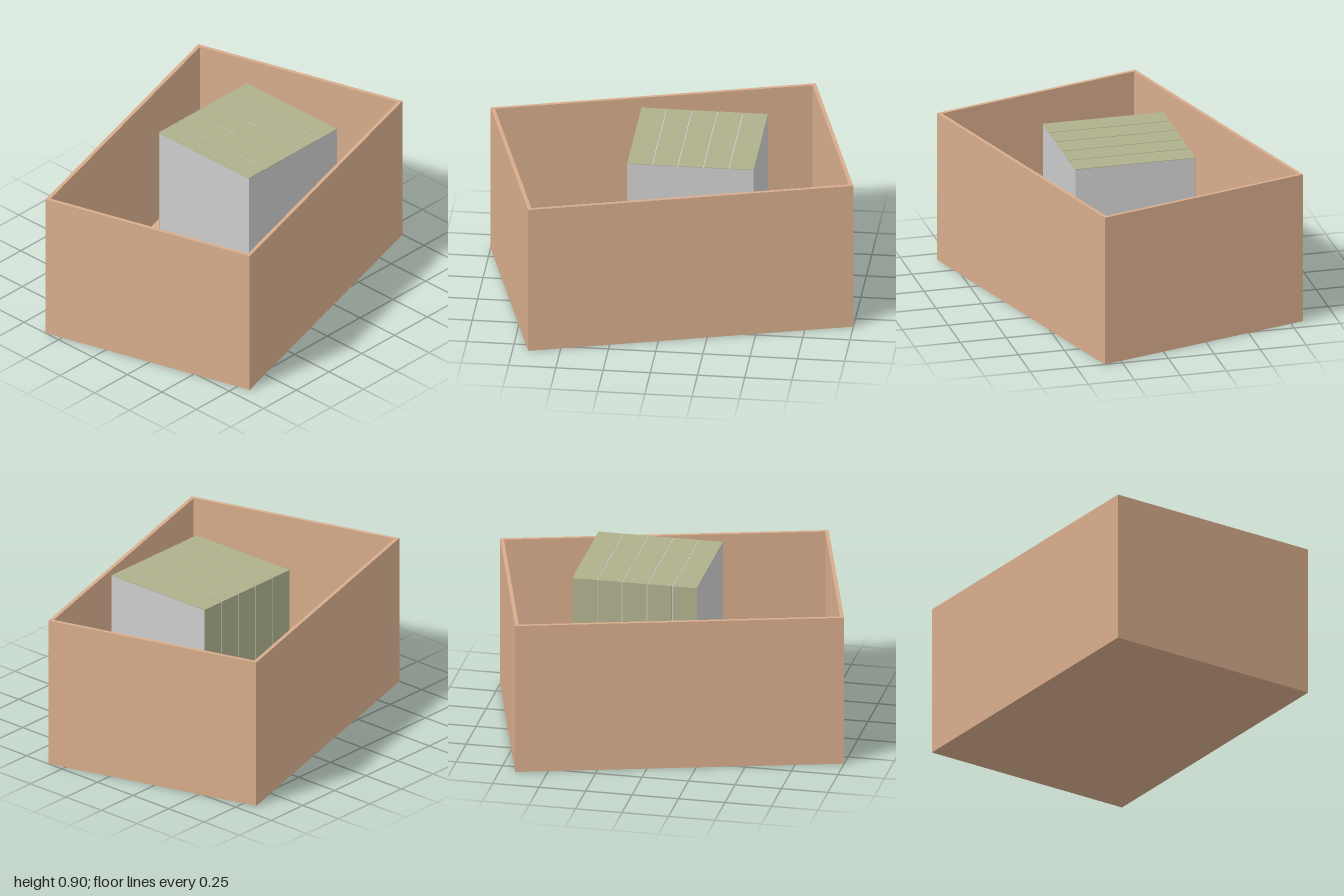
import * as THREE from 'three';

const cardboard = new THREE.MeshStandardMaterial({ color: 0xd7ac8c });
const grey = new THREE.MeshStandardMaterial({ color: 0xcccccc });
const green = new THREE.MeshStandardMaterial({ color: 0xafb08c });

// Box mesh from its min and max corners
function slab(name, material, min, max) {
  const size = max.map((v, i) => v - min[i]);
  const mesh = new THREE.Mesh(new THREE.BoxGeometry(...size), material);
  mesh.position.set(...max.map((v, i) => (v + min[i]) / 2));
  mesh.name = name;
  return mesh;
}

function rectangle(path, w, d) {
  path.moveTo(-w / 2, -d / 2);
  path.lineTo(w / 2, -d / 2);
  path.lineTo(w / 2, d / 2);
  path.lineTo(-w / 2, d / 2);
  path.closePath();
  return path;
}

// Open-topped carton, turned on its base
function createCarton() {
  const w = 1.733, d = 1.212, h = 0.83, t = 0.02;
  const carton = new THREE.Group();
  carton.name = 'carton';

  const outline = rectangle(new THREE.Shape(), w, d);
  outline.holes.push(rectangle(new THREE.Path(), w - 2 * t, d - 2 * t));
  const wallGeometry = new THREE.ExtrudeGeometry(outline, { depth: h, bevelEnabled: false });
  wallGeometry.rotateX(-Math.PI / 2);
  const walls = new THREE.Mesh(wallGeometry, cardboard);
  walls.name = 'cartonWalls';
  carton.add(walls);

  const i = w / 2 - t, j = d / 2 - t;
  carton.add(slab('cartonFloor', cardboard, [-i, 0, -j], [i, t, j]));
  carton.rotation.y = 0.278;
  return carton;
}

// Row of files: grey body with green strips over the top and down the back
function createFiles() {
  const x0 = -0.195, x1 = 0.475, y0 = 0.02, y1 = 0.905, z0 = -0.287, z1 = 0.368;
  const count = 5, skin = 0.003, gap = 0.006;
  const files = new THREE.Group();
  files.name = 'files';
  files.add(slab('filesBody', grey, [x0, y0, z0 + skin], [x1, y1 - skin, z1]));

  const pitch = (x1 - x0 + gap) / count;
  for (let n = 0; n < count; n++) {
    const a = x0 + n * pitch, b = a + pitch - gap;
    files.add(slab('fileTop', green, [a, y1 - skin, z0], [b, y1, z1]));
    files.add(slab('fileSpine', green, [a, y0, z0], [b, y1 - skin, z0 + skin]));
  }
  return files;
}

export function createModel() {
  const model = new THREE.Group();
  model.name = 'cartonWithFiles';
  model.add(createCarton(), createFiles());
  return model;
}
